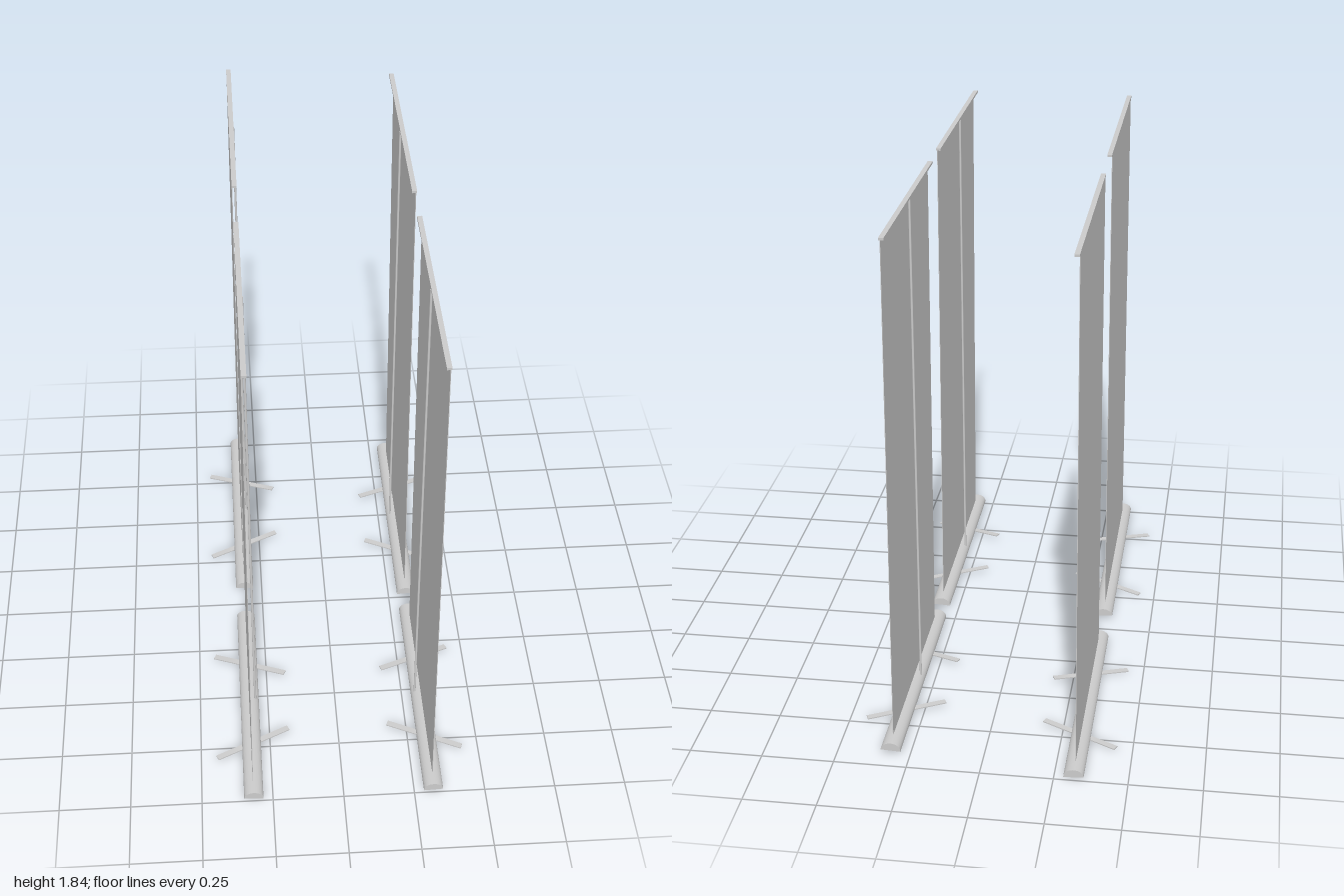
import * as THREE from 'three';

const grey = new THREE.MeshStandardMaterial({ color: 0xcccccc, side: THREE.DoubleSide });

function add(parent, name, geometry, x, y, z) {
  const mesh = new THREE.Mesh(geometry, grey);
  mesh.name = name;
  mesh.position.set(x, y, z);
  parent.add(mesh);
  return mesh;
}

// One roll-up banner stand; its picture side faces +x, its pole is on the -x side.
function createStand() {
  const stand = new THREE.Group();

  // Domed cassette with a flat underside, running along z
  const profile = new THREE.Shape();
  profile.moveTo(0.034, 0);
  profile.absellipse(0, 0.004, 0.034, 0.026, 0, Math.PI, false);
  profile.lineTo(-0.034, 0);
  profile.closePath();
  const cassette = new THREE.ExtrudeGeometry(profile, { depth: 0.92, bevelEnabled: false, curveSegments: 16 });
  cassette.translate(0, 0, -0.46);
  add(stand, 'cassette', cassette, 0, 0.013, 0);

  // Banner sheet, leaning slightly back towards the pole
  const bottom = new THREE.Vector2(0.001, 0.035), top = new THREE.Vector2(-0.007, 1.835);
  const sheet = add(stand, 'bannerSheet', new THREE.BoxGeometry(0.002, bottom.distanceTo(top), 0.81),
    (bottom.x + top.x) / 2, (bottom.y + top.y) / 2, 0);
  sheet.rotation.z = Math.atan2(bottom.x - top.x, top.y - bottom.y);

  // Top rail and support pole
  add(stand, 'topRail', new THREE.BoxGeometry(0.017, 0.008, 0.85), -0.014, 1.834, 0);
  add(stand, 'supportPole', new THREE.CylinderGeometry(0.004, 0.004, 1.795, 12), -0.021, 0.9325, 0);

  // Two splayed feet, lower at the outer end
  for (const side of [-1, 1]) {
    const foot = add(stand, 'foot', new THREE.BoxGeometry(0.285, 0.004, 0.022), -0.006, 0.0122, side * 0.197);
    foot.rotation.set(0, -side * Math.atan2(0.115, 0.26), -0.055, 'YXZ');
  }
  return stand;
}

export function createModel() {
  const model = new THREE.Group();
  model.name = 'bannerStands';
  // Two rows back to back: [x, z]
  const places = [[-0.3175, -0.54], [-0.3175, 0.54], [0.3175, -0.468], [0.3175, 0.54]];
  places.forEach(([x, z]) => {
    const stand = createStand();
    stand.name = 'bannerStand';
    stand.position.set(x, 0, z);
    if (x < 0) stand.rotation.y = Math.PI;
    model.add(stand);
  });
  return model;
}
